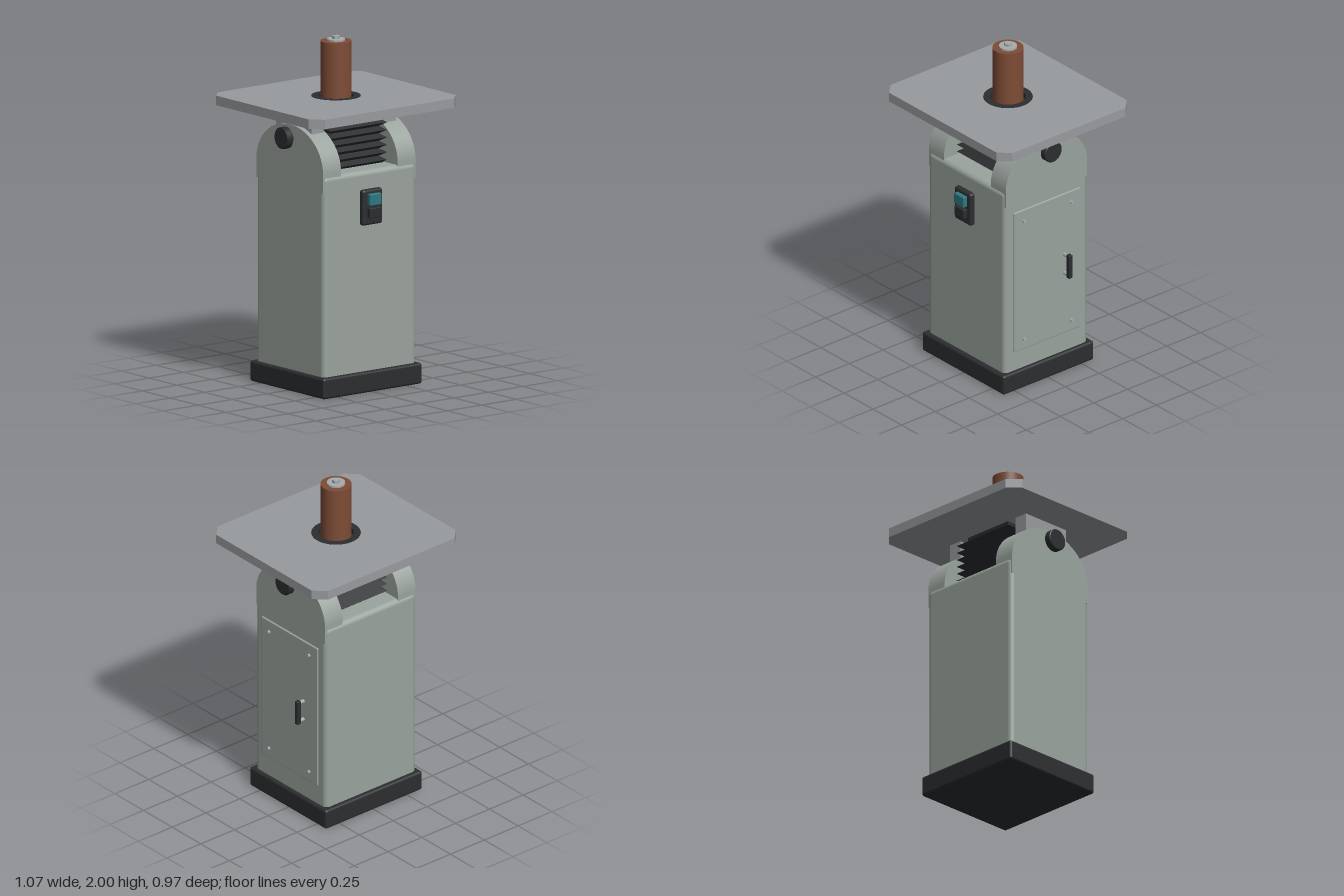
import * as THREE from 'three';
import { RoundedBoxGeometry } from 'three/addons/geometries/RoundedBoxGeometry.js';
import { toCreasedNormals } from 'three/addons/utils/BufferGeometryUtils.js';

const mat = (color) => new THREE.MeshStandardMaterial({ color });
const paint = mat(0x9aa39d), steel = mat(0x989b9e), black = mat(0x2b2d2f);
const abrasive = mat(0x7e4c36), teal = mat(0x2f7780), bright = mat(0xa6abae);
const rubber = new THREE.MeshStandardMaterial({ color: 0x2b2d2f, flatShading: true });

export function createModel() {
  const model = new THREE.Group();

  const add = (name, geometry, material, x = 0, y = 0, z = 0) => {
    const mesh = new THREE.Mesh(geometry, material);
    mesh.name = name;
    mesh.position.set(x, y, z);
    model.add(mesh);
    return mesh;
  };
  const rounded = (w, h, d, r) => new RoundedBoxGeometry(w, h, d, 4, r);
  // Cylinder lying along x
  const rodX = (r, length, sides = 24) =>
    new THREE.CylinderGeometry(r, r, length, sides).rotateZ(Math.PI / 2);

  // Cabinet
  add('base', rounded(0.715, 0.12, 0.67, 0.015), black, 0, 0.06, 0);
  add('cabinet', rounded(0.67, 1.21, 0.615, 0.03), paint, 0, 0.67, 0);

  // Arched cheeks, table brackets and tilt knobs on both sides
  const arch = new THREE.Shape();
  arch.moveTo(-0.3, 1.18);
  arch.lineTo(0.3, 1.18);
  arch.lineTo(0.3, 1.29);
  arch.absellipse(0, 1.29, 0.3, 0.243, 0, Math.PI, false, 0);
  arch.closePath();
  const cheek = toCreasedNormals(
    new THREE.ExtrudeGeometry(arch, { depth: 0.13, bevelEnabled: false, curveSegments: 32 })
      .rotateY(Math.PI / 2).translate(-0.065, 0, 0), 0.5);

  const knobProfile = [[0, -0.022], [0.058, -0.022], [0.063, -0.017], [0.063, 0.017], [0.058, 0.022], [0, 0.022]]
    .map(([r, y]) => new THREE.Vector2(r, y));
  const knob = toCreasedNormals(new THREE.LatheGeometry(knobProfile, 32).rotateZ(Math.PI / 2), 0.6);

  for (const [side, s] of [['left', 1], ['right', -1]]) {
    add(side + 'Cheek', cheek, paint, s * 0.27, 0, 0);
    add(side + 'TableBracket', new THREE.BoxGeometry(0.085, 0.2, 0.32), steel, s * 0.262, 1.5, 0);
    add(side + 'KnobShaft', rodX(0.027, 0.05), bright, s * 0.345, 1.46, 0);
    add(side + 'TiltKnob', knob, black, s * 0.377, 1.46, 0);
  }

  // Pleated square bellows
  const pleats = [], count = 7, pitch = 0.043, root2 = Math.SQRT2;
  pleats.push(new THREE.Vector2(0.172 * root2, 1.265));
  for (let i = 0; i < count; i++) {
    const y = 1.27 + i * pitch;
    pleats.push(new THREE.Vector2(0.205 * root2, y + pitch / 2));
    pleats.push(new THREE.Vector2(0.172 * root2, y + pitch));
  }
  pleats.push(new THREE.Vector2(0, 1.27 + count * pitch));
  add('bellows', new THREE.LatheGeometry(pleats, 4, Math.PI / 4), rubber);
  add('bellowsCollar', new THREE.BoxGeometry(0.32, 0.05, 0.32), black, 0, 1.577, 0);

  // Chamfered table with a round opening
  const X = 0.533, Z = 0.483, c = 0.066;
  const top = new THREE.Shape([
    [X - c, -Z], [X, -Z + c], [X, Z - c], [X - c, Z],
    [-X + c, Z], [-X, Z - c], [-X, -Z + c], [-X + c, -Z],
  ].map(([x, y]) => new THREE.Vector2(x, y)));
  const hole = new THREE.Path();
  hole.absarc(0, 0, 0.14, 0, Math.PI * 2, true);
  top.holes.push(hole);
  add('table', toCreasedNormals(
    new THREE.ExtrudeGeometry(top, { depth: 0.055, bevelEnabled: false, curveSegments: 32 })
      .rotateX(-Math.PI / 2), 0.5), steel, 0, 1.6, 0);

  // Insert ring around the drum
  const ring = [[0.1, 1.602], [0.14, 1.602], [0.14, 1.656], [0.1, 1.656], [0.1, 1.602]]
    .map(([r, y]) => new THREE.Vector2(r, y));
  add('tableInsert', toCreasedNormals(new THREE.LatheGeometry(ring, 48), 0.5), black);
  add('insertFloor', new THREE.CylinderGeometry(0.101, 0.101, 0.02, 48), black, 0, 1.615, 0);

  // Sanding drum and its fixing
  add('sandingDrum', new THREE.CylinderGeometry(0.088, 0.088, 0.35, 48), abrasive, 0, 1.797, 0);
  add('drumWasher', new THREE.CylinderGeometry(0.052, 0.052, 0.012, 32), bright, 0, 1.977, 0);
  add('spindleNut', toCreasedNormals(new THREE.CylinderGeometry(0.023, 0.023, 0.02, 6), 0.5),
    bright, 0, 1.99, 0);

  // Switch on the front
  add('switchPlate', rounded(0.145, 0.205, 0.04, 0.015), black, -0.002, 1.067, 0.317);
  add('startButton', rounded(0.084, 0.066, 0.04, 0.005), teal, -0.002, 1.114, 0.344);
  add('stopButton', rounded(0.084, 0.058, 0.04, 0.005), black, -0.002, 1.037, 0.342);

  // Access door on the left side, with screws and a pull handle
  add('door', rounded(0.024, 0.89, 0.49, 0.006), paint, 0.333, 0.685, 0);
  for (const y of [0.305, 1.06]) {
    for (const z of [-0.175, 0.175]) {
      add('doorScrew', rodX(0.01, 0.02, 16), bright, 0.348, y, z);
    }
  }
  for (const y of [0.625, 0.742]) {
    add('handlePost', rodX(0.011, 0.05, 16), bright, 0.362, y, -0.125);
  }
  add('handle', rounded(0.028, 0.148, 0.026, 0.005), black, 0.388, 0.683, -0.125);

  return model;
}
